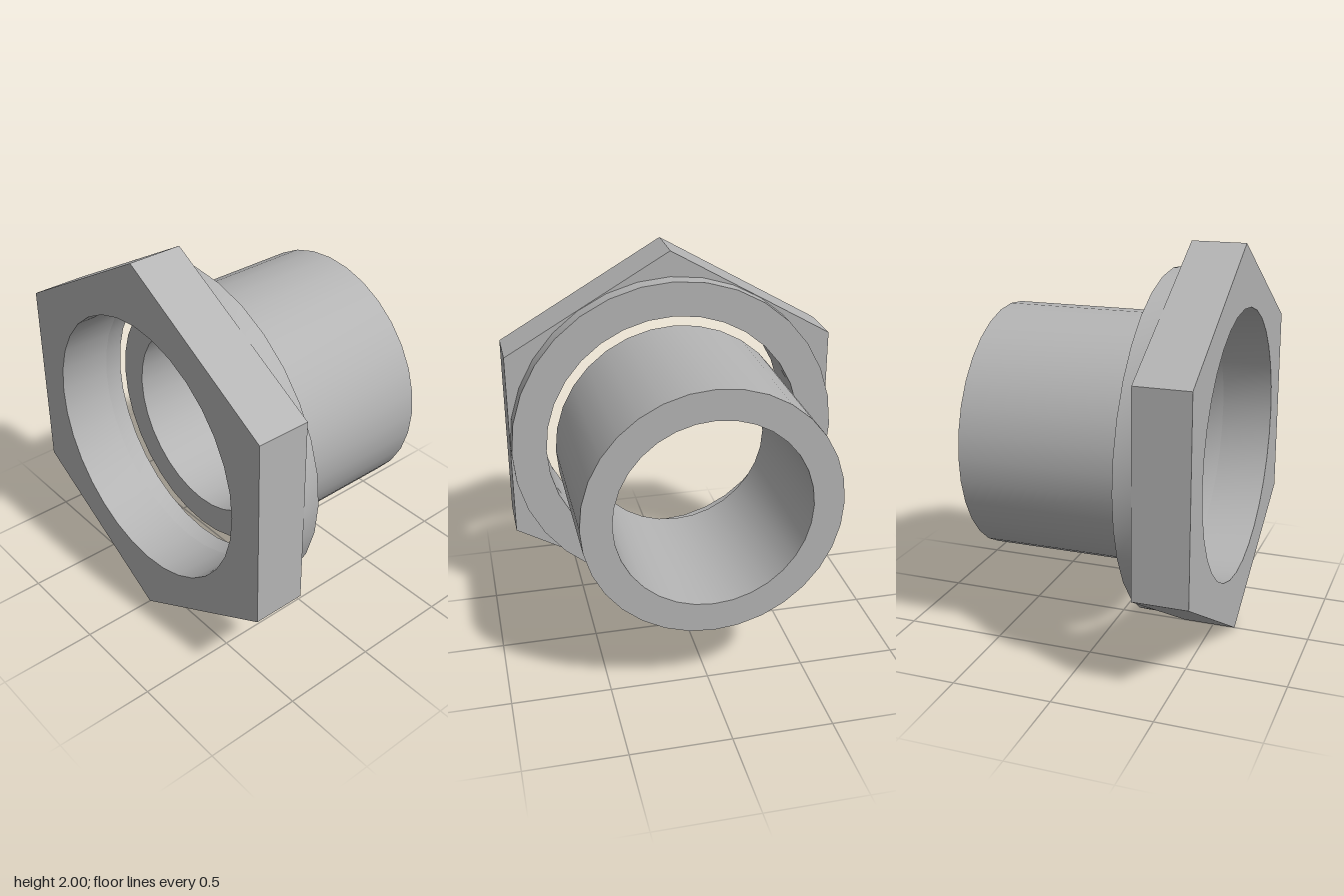
import * as THREE from 'three';
import { toCreasedNormals } from 'three/addons/utils/BufferGeometryUtils.js';

const SIDES = 32;

// Regular polygon with its first corner pointing straight up
function polygon(radius, sides) {
  return Array.from({ length: sides }, (_, i) => {
    const a = Math.PI / 2 + (i / sides) * Math.PI * 2;
    return new THREE.Vector2(Math.cos(a) * radius, Math.sin(a) * radius);
  });
}

// Plate or tube along z with a round bore; sharp rims, smooth round walls
function boredPrism(name, outerRadius, sides, boreRadius, zBack, zFront, material) {
  const shape = new THREE.Shape(polygon(outerRadius, sides));
  shape.holes.push(new THREE.Path(polygon(boreRadius, SIDES)));
  const geometry = new THREE.ExtrudeGeometry(shape, { depth: zFront - zBack, bevelEnabled: false });
  geometry.translate(0, 1, zBack);
  const mesh = new THREE.Mesh(toCreasedNormals(geometry, 0.5), material);
  mesh.name = name;
  return mesh;
}

export function createModel() {
  const group = new THREE.Group();
  group.name = 'hexFitting';
  const metal = new THREE.MeshStandardMaterial({ color: 0xb4b4b4 });
  metal.name = 'grey metal';

  group.add(
    // Hexagonal head at the front
    boredPrism('hexHead', 1, 6, 0.685, 0.345, 0.615, metal),
    // Round collar behind the head
    boredPrism('collar', 0.866, SIDES, 0.685, 0.255, 0.345, metal),
    // Separate sleeve, starting at the back of the collar
    boredPrism('sleeve', 0.637, SIDES, 0.485, -0.615, 0.255, metal),
  );
  return group;
}
